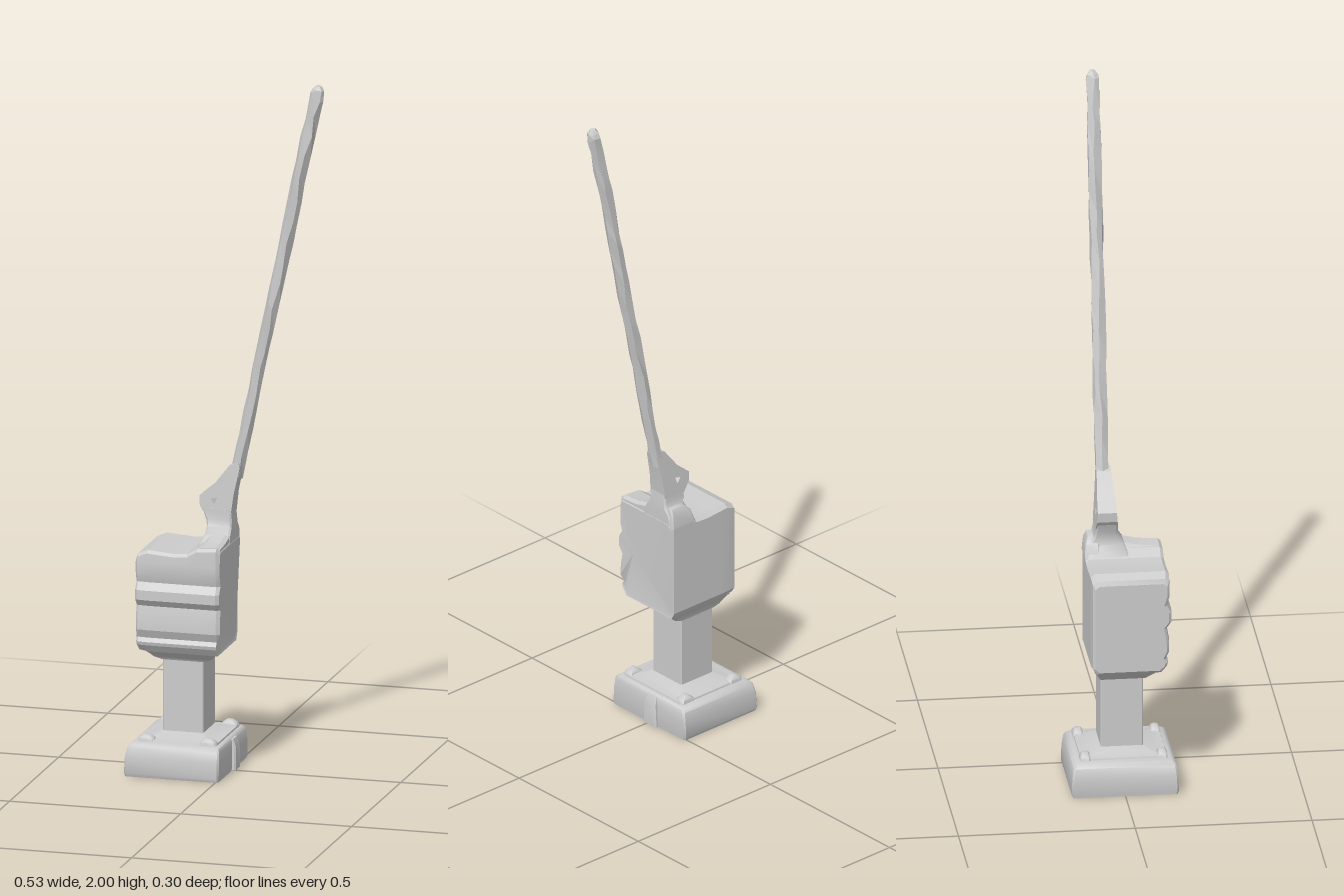
import * as THREE from 'three';
import { toCreasedNormals } from 'three/addons/utils/BufferGeometryUtils.js';

const V = (x, y, z) => new THREE.Vector3(x, y, z);

// Skin a list of equal-length rings and cap both ends; winding is fixed by signed volume.
function loft(rings, crease = 0.45) {
  const tris = [];
  const n = rings[0].length;
  for (let i = 0; i + 1 < rings.length; i++) {
    for (let j = 0; j < n; j++) {
      const k = (j + 1) % n;
      const a = rings[i][j], b = rings[i][k], c = rings[i + 1][k], d = rings[i + 1][j];
      tris.push([a, b, c], [a, c, d]);
    }
  }
  const cap = (ring, flip) => {
    const m = ring.reduce((s, p) => s.add(p), V(0, 0, 0)).divideScalar(n);
    ring.forEach((p, j) => {
      const q = ring[(j + 1) % n];
      tris.push(flip ? [m, q, p] : [m, p, q]);
    });
  };
  cap(rings[0], true);
  cap(rings[rings.length - 1], false);
  const volume = tris.reduce((s, [a, b, c]) => s + a.dot(b.clone().cross(c)), 0);
  if (volume < 0) tris.forEach((t) => t.reverse());
  const g = new THREE.BufferGeometry().setFromPoints(tris.flat());
  return toCreasedNormals(g, crease);
}

// Horizontal rectangle with clipped corners.
function plate(y, x0, x1, z0, z1, c = 0.005) {
  return [[x0 + c, z0], [x1 - c, z0], [x1, z0 + c], [x1, z1 - c],
    [x1 - c, z1], [x0 + c, z1], [x0, z1 - c], [x0, z0 + c]].map(([x, z]) => V(x, y, z));
}

export function createModel() {
  const model = new THREE.Group();
  const gray = new THREE.MeshStandardMaterial({ color: 0xcccccc });
  gray.name = 'gray';
  const add = (name, geometry) => {
    const mesh = new THREE.Mesh(geometry, gray);
    mesh.name = name;
    model.add(mesh);
  };
  const stack = (name, layers) => add(name, loft(layers.map((l) => plate(...l)), 0.7));

  // Foot block with rounded shoulders
  stack('base', [
    [0, -0.265, 0.008, -0.148, 0.148],
    [0.01, -0.267, 0.01, -0.152, 0.152],
    [0.055, -0.265, 0.01, -0.15, 0.15],
    [0.085, -0.258, 0.009, -0.145, 0.145],
    [0.094, -0.25, 0.005, -0.138, 0.138],
    [0.098, -0.24, 0, -0.13, 0.13],
  ]);
  stack('baseRib', [
    [0.002, -0.01, 0.02, -0.04, 0.012, 0.004],
    [0.07, -0.01, 0.02, -0.036, 0.01, 0.004],
    [0.092, -0.01, 0.012, -0.032, 0.008, 0.004],
  ]);
  // Flange around the foot of the column
  stack('lowerFlange', [
    [0.09, -0.232, -0.003, -0.125, 0.125],
    [0.103, -0.228, -0.006, -0.121, 0.121],
    [0.106, -0.203, -0.034, -0.09, 0.09],
    [0.118, -0.18, -0.057, -0.063, 0.063],
  ]);
  // Four squat bolts on the flange
  for (const x of [-0.21, -0.03]) {
    for (const z of [-0.109, 0.109]) {
      stack('bolt', [
        [0.09, x - 0.026, x + 0.026, z - 0.016, z + 0.016],
        [0.108, x - 0.022, x + 0.022, z - 0.014, z + 0.014],
        [0.118, x - 0.009, x + 0.009, z - 0.008, z + 0.008, 0.003],
      ]);
    }
  }
  stack('column', [
    [0.09, -0.178, -0.06, -0.06, 0.06, 0.003],
    [0.35, -0.178, -0.06, -0.06, 0.06, 0.003],
  ]);
  stack('upperCollar', [
    [0.325, -0.183, -0.055, -0.064, 0.064],
    [0.332, -0.204, -0.036, -0.066, 0.068],
    [0.345, -0.212, -0.025, -0.072, 0.085],
    [0.365, -0.23, -0.01, -0.084, 0.112],
  ]);

  // Housing: ribbed front profile [z, y] swept along x under a dished top
  const front = [[0.108, 0.357], [0.123, 0.378], [0.126, 0.388], [0.119, 0.4], [0.13, 0.424],
    [0.129, 0.455], [0.122, 0.493], [0.136, 0.512], [0.136, 0.54], [0.123, 0.562], [0.131, 0.59], [0.131, 0.62]];
  const stations = [[-0.24, 0.63, 0.01], [-0.234, 0.643, 0.003], [-0.205, 0.655, 0],
    [-0.17, 0.652, 0], [-0.13, 0.649, 0], [-0.09, 0.651, 0], [-0.06, 0.669, 0], [-0.004, 0.673, 0], [0.006, 0.66, 0.008]];
  add('housing', loft(stations.map(([x, top, inset]) => {
    const loop = [...front, [0.129, top - 0.008], [0.12, top],
      [-0.08, top], [-0.092, top - 0.01], [-0.092, 0.378], [-0.08, 0.357]];
    return loop.map(([z, y]) => {
      const edge = y < 0.5 ? Math.max(y, 0.357 + inset) : y;
      return V(x - (x > 0 && y < 0.42 ? 0.012 : 0), edge, z - Math.sign(z) * inset);
    });
  }), 0.32));

  // Flared neck, front ramp and rear lump under the bracket
  stack('neck', [
    [0.645, -0.09, 0.005, -0.09, 0.035],
    [0.685, -0.068, 0.006, -0.082, 0.02],
    [0.705, -0.066, 0.006, -0.066, 0.006],
    [0.725, -0.07, 0.005, -0.062, 0.001],
    [0.755, -0.082, 0.003, -0.06, 0],
  ]);
  add('ramp', loft([[0.115, -0.072, 0.674], [0.06, -0.08, 0.678], [0.01, -0.084, 0.69]].map(([z, x, y]) =>
    [V(x, 0.645, z), V(0.004, 0.645, z), V(0.004, y - 0.006, z), V(-0.008, y, z), V(-0.05, y - 0.004, z)])));
  stack('rearLump', [
    [0.65, -0.085, 0.004, -0.094, -0.05],
    [0.69, -0.07, 0.002, -0.09, -0.05],
    [0.706, -0.05, 0, -0.082, -0.05],
  ]);

  // Pierced bracket, thinning toward the rod
  const toShape = (points) => points.map(([x, y]) => new THREE.Vector2(x, y));
  const outline = new THREE.Shape(toShape([[-0.07, 0.735], [0.002, 0.735], [0.01, 0.8], [0.026, 0.875],
    [0.022, 0.89], [-0.004, 0.882], [-0.048, 0.825], [-0.09, 0.79], [-0.088, 0.762]]));
  outline.holes.push(new THREE.Path(toShape([[-0.058, 0.784], [-0.038, 0.788], [-0.046, 0.768]])));
  const bracket = new THREE.ExtrudeGeometry(outline, { depth: 1, bevelEnabled: false });
  const p = bracket.attributes.position;
  for (let i = 0; i < p.count; i++) {
    const half = THREE.MathUtils.mapLinear(p.getY(i), 0.735, 0.89, 0.031, 0.02);
    p.setZ(i, -0.031 + (p.getZ(i) - 0.5) * 2 * half);
  }
  add('bracket', toCreasedNormals(bracket, 0.4));

  // Long rough-hewn rod with irregular facets and a blunt tip
  let seed = 7;
  const rand = () => ((seed = (seed * 16807) % 2147483647) / 2147483647) - 0.5;
  const sections = Array.from({ length: 19 }, (_, i) => [i / 18, 1]);
  sections.push([1.016, 0.8], [1.025, 0.4]);
  add('rod', loft(sections.map(([t, taper]) => {
    const cx = 0.01 + 0.235 * t + 0.0015 * Math.sin(t * 14);
    const cy = 0.85 + 1.12 * t;
    const rx = 0.0175 + 0.003 * t;
    return Array.from({ length: 6 }, (_, j) => {
      const a = (j / 6) * Math.PI * 2 + rand() * 0.5;
      const r = taper * (1.02 + rand() * 0.14);
      const x = Math.cos(a) * rx * r;
      const lift = taper === 1 ? rand() * 0.03 : 0;
      return V(cx + x + lift * 0.21, cy - x * 0.2 + lift, -0.034 + Math.sin(a) * 0.0205 * r);
    });
  }), 0.15));

  return model;
}
